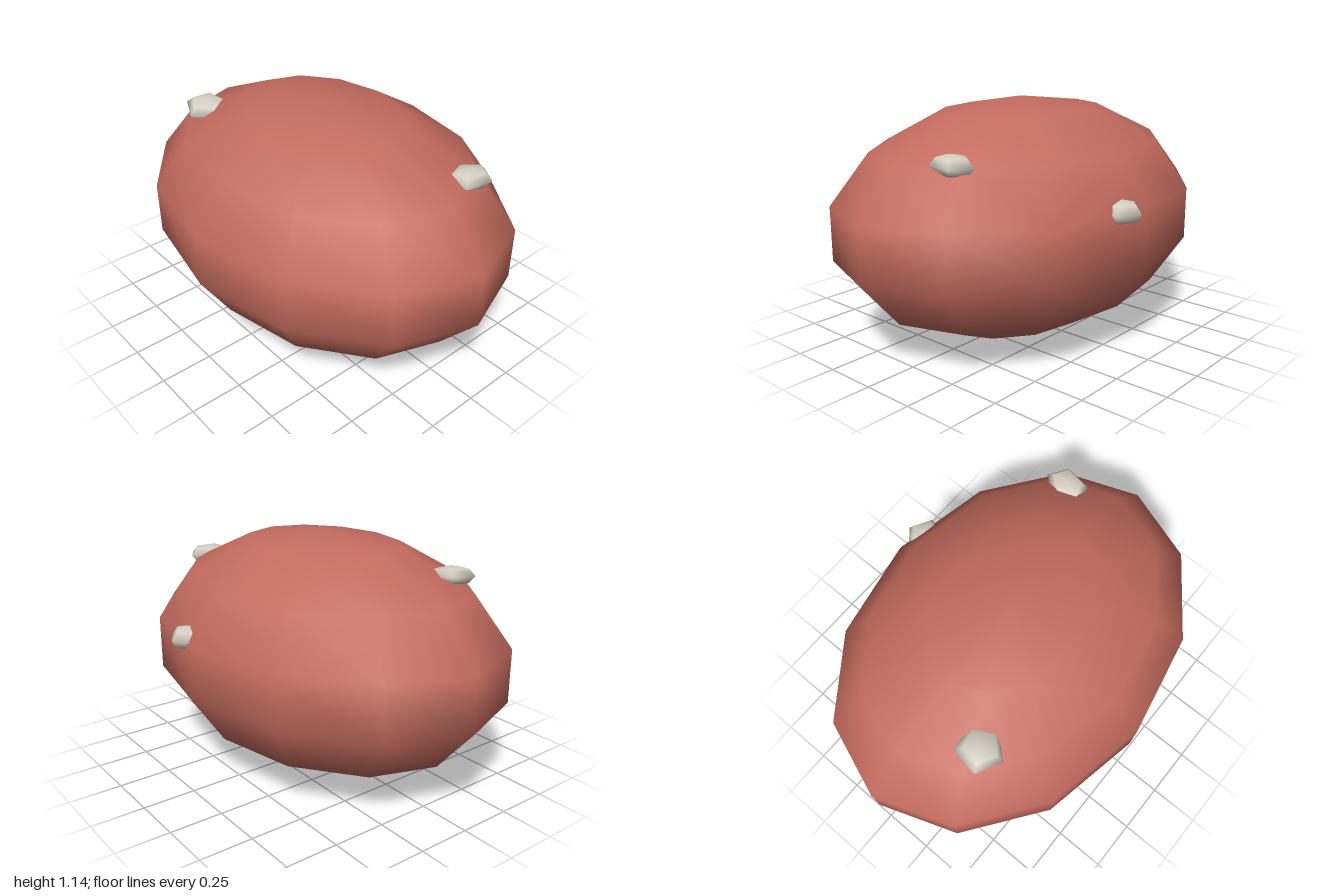
import * as THREE from 'three';

export function createModel() {
  const model = new THREE.Group();

  const clay = new THREE.MeshStandardMaterial({ color: 0xc56c5f });
  clay.name = 'clay red';
  const stone = new THREE.MeshStandardMaterial({ color: 0xd6d0c4 });
  stone.name = 'pale stone';

  // Smooth-shaded, low-poly ellipsoid
  function ellipsoid(name, material, columns, rows, radii, position, rotation = [0, 0, 0]) {
    const mesh = new THREE.Mesh(new THREE.SphereGeometry(1, columns, rows), material);
    mesh.name = name;
    mesh.scale.set(...radii);
    mesh.position.set(...position);
    mesh.rotation.set(...rotation);
    model.add(mesh);
    return mesh;
  }

  // Main boulder-like body
  ellipsoid('body', clay, 12, 7, [1.0257, 0.57, 0.757], [0, 0.57, 0.017]);

  // Small pebbles half sunk into the surface
  const pebbles = [
    { name: 'frontPebble', radii: [0.112, 0.046, 0.112], position: [-0.565, 0.982, 0.297], rotation: [0.05, 3.0, 0.13] },
    { name: 'sidePebble', radii: [0.09, 0.048, 0.118], position: [0.685, 0.934, -0.217], rotation: [0, -0.17, 0] },
    { name: 'backPebble', radii: [0.1, 0.054, 0.105], position: [0.12, 0.705, -0.658], rotation: [0, 4.82, 0] },
  ];
  for (const p of pebbles) ellipsoid(p.name, stone, 5, 4, p.radii, p.position, p.rotation);

  return model;
}
